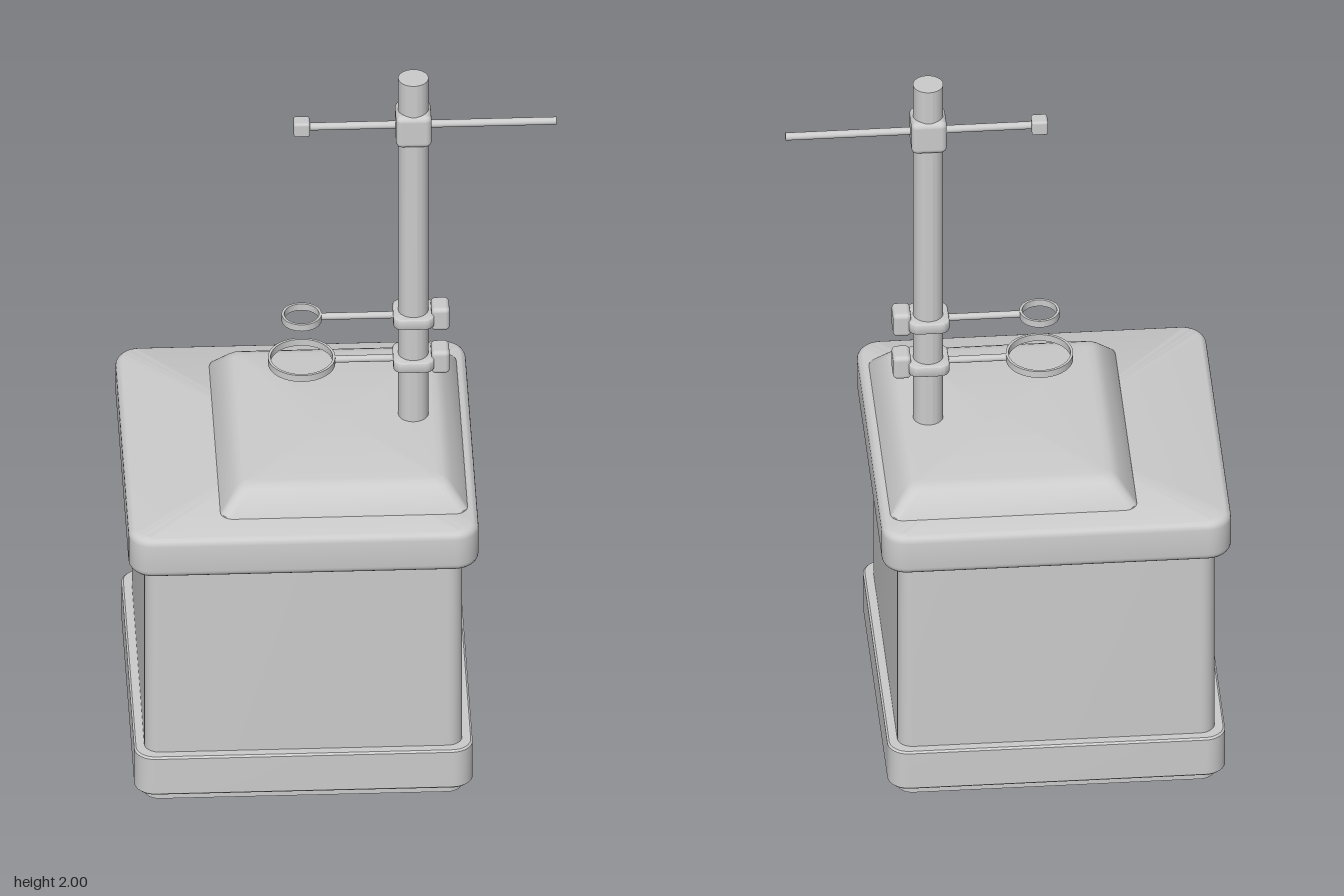
import * as THREE from 'three';
import { toCreasedNormals } from 'three/addons/utils/BufferGeometryUtils.js';
import { RoundedBoxGeometry } from 'three/addons/geometries/RoundedBoxGeometry.js';

const material = new THREE.MeshStandardMaterial({ color: 0xcccccc });
const POLE_X = 0.195, POLE_Z = -0.007, RING_X = -0.1;

// Skin over rounded-rectangle sections [y, halfWidth, halfDepth, cornerRadius]
function loft(sections, crease = 0.6) {
  const steps = 8, n = 4 * (steps + 1), pos = [], index = [];
  for (const [y, w, d, r] of sections) {
    for (let c = 0; c < 4; c++) {
      const sx = c === 0 || c === 3 ? 1 : -1, sz = c < 2 ? 1 : -1;
      for (let s = 0; s <= steps; s++) {
        const a = (c + s / steps) * Math.PI / 2;
        pos.push(sx * (w - r) + r * Math.cos(a), y, sz * (d - r) + r * Math.sin(a));
      }
    }
  }
  for (let i = 0; i < sections.length - 1; i++) {
    for (let j = 0; j < n; j++) {
      const a = i * n + j, b = i * n + (j + 1) % n;
      index.push(a, a + n, b, b, a + n, b + n);
    }
  }
  const g = new THREE.BufferGeometry();
  g.setAttribute('position', new THREE.Float32BufferAttribute(pos, 3));
  g.setIndex(index);
  return toCreasedNormals(g, crease);
}

// Solid slab with rounded top and bottom edges
function slab(y0, y1, w, d, corner, edge) {
  const rows = [[y0, 0, 0, 0]], steps = 5;
  for (const top of [0, 1]) {
    for (let s = 0; s <= steps; s++) {
      const a = (s / steps) * Math.PI / 2;
      const inset = edge * (1 - (top ? Math.cos(a) : Math.sin(a)));
      const y = top ? y1 - edge + edge * Math.sin(a) : y0 + edge - edge * Math.cos(a);
      rows.push([y, w - inset, d - inset, corner - inset]);
    }
  }
  rows.push([y1, 0, 0, 0]);
  return loft(rows);
}

export function createModel() {
  const model = new THREE.Group();
  const add = (name, geometry, x, y, z, parent = model) => {
    const mesh = new THREE.Mesh(geometry, material);
    mesh.name = name;
    mesh.position.set(x, y, z);
    parent.add(mesh);
    return mesh;
  };
  const rod = (name, x0, x1, y, r, parent) => {
    const g = new THREE.CylinderGeometry(r, r, x1 - x0, 16).rotateZ(Math.PI / 2);
    return add(name, g, (x0 + x1) / 2, y, POLE_Z, parent);
  };

  // Hollow box, open underneath
  const boxX = -0.1125;
  add('body', loft([
    [0.74, 0, 0, 0], [0.74, 0.395, 0.395, 0.02], [0.012, 0.395, 0.395, 0.02],
    [0.012, 0.42, 0.42, 0.04], [0.76, 0.42, 0.42, 0.04],
  ]), boxX, 0, 0);
  add('baseBand', loft([
    [0.04, 0.41, 0.41, 0.04], [0.04, 0.442, 0.442, 0.05], [0.045, 0.447, 0.447, 0.055],
    [0.155, 0.447, 0.447, 0.055], [0.16, 0.442, 0.442, 0.05], [0.16, 0.41, 0.41, 0.04],
  ]), boxX, 0, 0);
  add('lid', slab(0.74, 0.862, 0.4625, 0.4625, 0.065, 0.022), boxX, 0, 0);

  // Raised plinth with sloping sides
  add('plinth', loft([
    [0.855, 0.328, 0.378, 0.035], [0.865, 0.326, 0.376, 0.034], [0.91, 0.288, 0.338, 0.03],
    [0.921, 0.277, 0.327, 0.028], [0.928, 0.264, 0.314, 0.025], [0.931, 0.245, 0.295, 0.02],
    [0.931, 0, 0, 0],
  ]), -0.003, 0, -0.007);

  // Upright pole
  add('pole', toCreasedNormals(new THREE.CylinderGeometry(0.04, 0.04, 2, 40), 0.6), POLE_X, 1, POLE_Z);

  // Upper cross rod with its clamp and end block
  const upperArm = new THREE.Group();
  upperArm.name = 'upperArm';
  model.add(upperArm);
  add('clamp', new RoundedBoxGeometry(0.094, 0.098, 0.094, 4, 0.016), POLE_X, 1.853, POLE_Z, upperArm);
  rod('crossRod', -0.1, 0.573, 1.853, 0.0105, upperArm);
  add('endBlock', new RoundedBoxGeometry(0.043, 0.043, 0.043, 3, 0.007), -0.1, 1.853, POLE_Z, upperArm);

  // Two ring holders: collar, knob, arm and open ring
  for (const [name, y, r] of [['upperRingHolder', 1.247, 0.053], ['lowerRingHolder', 1.11, 0.089]]) {
    const holder = new THREE.Group();
    holder.name = name;
    model.add(holder);
    add('collar', slab(-0.016, 0.016, 0.054, 0.054, 0.025, 0.005), POLE_X, y, POLE_Z, holder);
    add('knob', new RoundedBoxGeometry(0.048, 0.07, 0.067, 3, 0.012), 0.266, y, POLE_Z, holder);
    rod('arm', RING_X + r - 0.004, POLE_X - 0.04, y, 0.0095, holder);
    const profile = [[r - 0.007, -0.01], [r, -0.01], [r, 0.01], [r - 0.007, 0.01], [r - 0.007, -0.01]]
      .map(([px, py]) => new THREE.Vector2(px, py));
    add('ring', toCreasedNormals(new THREE.LatheGeometry(profile, 48), 0.6), RING_X, y, POLE_Z, holder);
  }
  return model;
}
